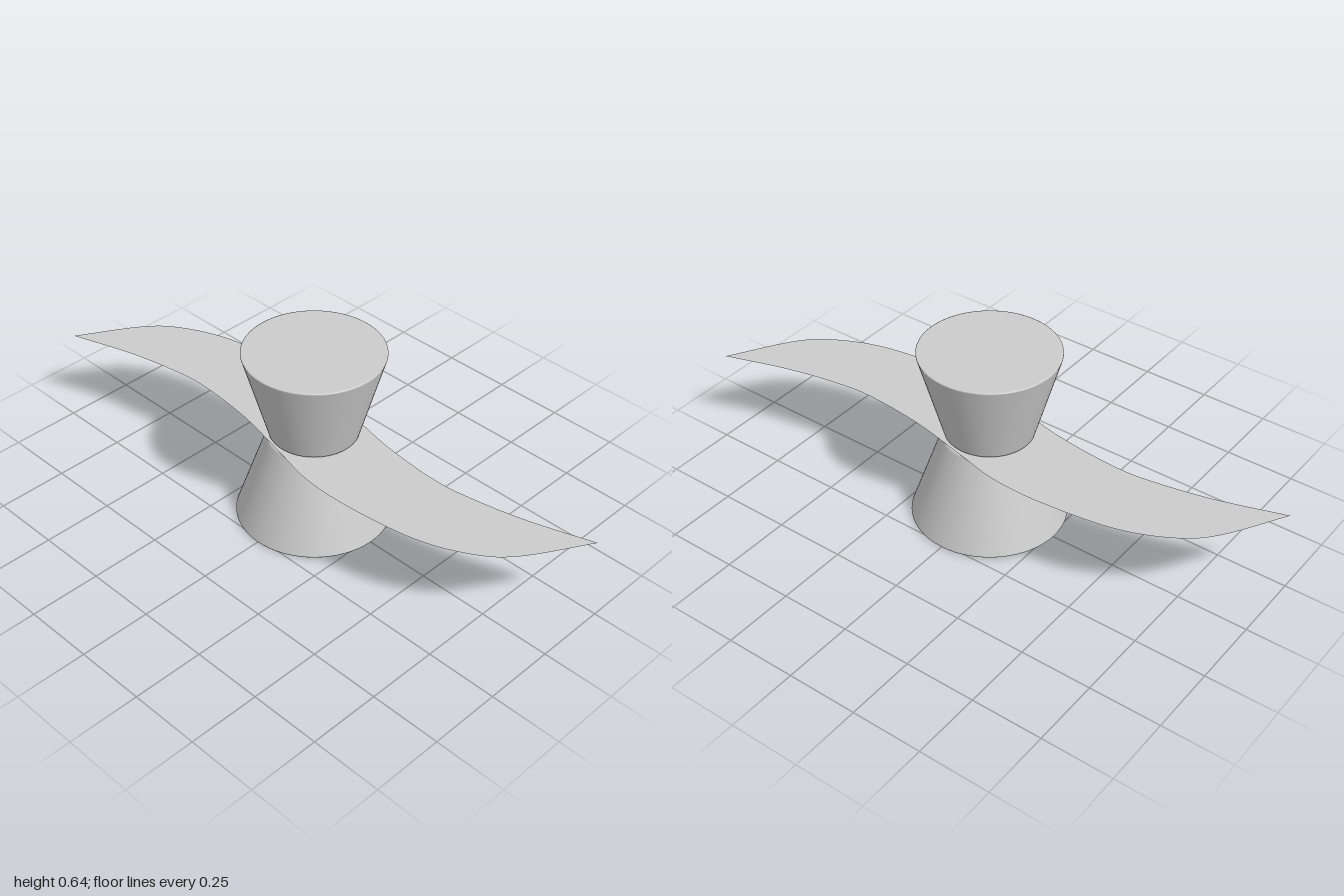
import * as THREE from 'three';

const material = new THREE.MeshStandardMaterial({ color: 0xcccccc });
const bladeMaterial = new THREE.MeshStandardMaterial({ color: 0xcccccc, side: THREE.DoubleSide });

// Solid truncated cone with slightly softened rims
function taperedHub(name, y0, r0, y1, r1) {
  const b = 0.004;
  const slope = (r1 - r0) / (y1 - y0);
  const profile = [
    [0, y0], [r0 - 2 * b, y0], [r0 - b, y0], [r0 - b * 0.3, y0 + b * 0.3],
    [r0 + slope * b, y0 + b], [r0 + slope * 2 * b, y0 + 2 * b],
    [r1 - slope * 2 * b, y1 - 2 * b], [r1 - slope * b, y1 - b],
    [r1 - b * 0.3, y1 - b * 0.3], [r1 - b, y1], [r1 - 2 * b, y1], [0, y1],
  ].map(([r, y]) => new THREE.Vector2(r, y));
  const mesh = new THREE.Mesh(new THREE.LatheGeometry(profile, 64), material);
  mesh.name = name;
  return mesh;
}

// Paper-thin S-shaped blade; one edge is the other turned half a turn
function sBlade(y) {
  const edge = [
    [-0.21, -1], [-0.14, -0.78], [-0.102, -0.6], [-0.088, -0.45], [-0.11, -0.22],
    [-0.16, 0], [-0.198, 0.17], [-0.2, 0.36], [-0.167, 0.6], [-0.095, 0.77],
    [0, 0.875], [0.21, 1],
  ].map(([x, z]) => new THREE.Vector2(x, -z));
  const side = new THREE.SplineCurve(edge).getPoints(66);
  const outline = [...side, ...side.slice(1, -1).map((p) => p.clone().negate())];
  const geometry = new THREE.ShapeGeometry(new THREE.Shape(outline));
  geometry.rotateX(-Math.PI / 2);
  const mesh = new THREE.Mesh(geometry, bladeMaterial);
  mesh.position.y = y;
  mesh.name = 'blade';
  return mesh;
}

export function createModel() {
  const group = new THREE.Group();
  group.name = 'bladedHub';
  group.add(
    taperedHub('lowerHub', 0, 0.267, 0.317, 0.157),
    taperedHub('upperHub', 0.327, 0.15, 0.641, 0.237),
    sBlade(0.322),
  );
  return group;
}
